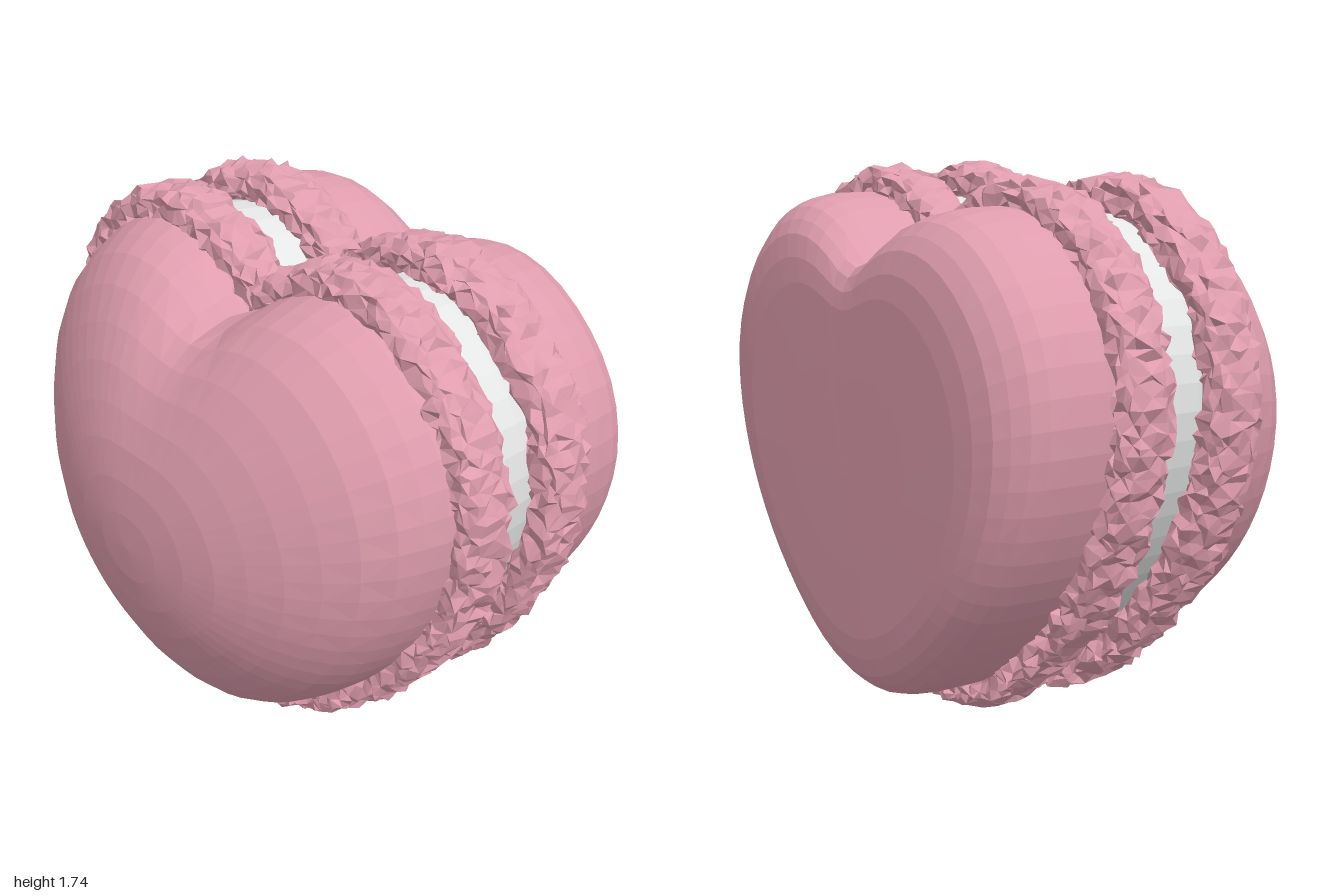
import * as THREE from 'three';

const CENTER_Y = 0.82;

// Right half of the heart outline, from the bottom tip up to the cleft
const HALF = [
  [0, 0.08], [0.1, 0.092], [0.25, 0.15], [0.42, 0.27], [0.62, 0.46], [0.78, 0.68], [0.88, 0.91],
  [0.91, 1.13], [0.86, 1.34], [0.73, 1.51], [0.56, 1.62], [0.38, 1.65], [0.2, 1.605], [0.08, 1.525], [0, 1.47],
];

// Closed counter-clockwise heart loop of n points
function heartLoop(n) {
  const curve = new THREE.CatmullRomCurve3(HALF.map(([x, y]) => new THREE.Vector3(x, y, 0)));
  const right = curve.getSpacedPoints(n / 2);
  const left = right.slice(1, -1).reverse().map((p) => new THREE.Vector3(-p.x, p.y, 0));
  return [...right, ...left];
}

// Rounds off the corners of a closed loop by averaging neighbours
function smoothLoop(loop, passes) {
  const n = loop.length;
  let points = loop;
  for (let i = 0; i < passes; i++) {
    const old = points;
    points = old.map((p, j) => old[(j + 1) % n].clone().add(old[(j + n - 1) % n])
      .multiplyScalar(0.25).addScaledVector(p, 0.5));
  }
  return points;
}

// Skin between closed rings of points; optionally joins the last ring to the first
function loft(rings, wrap = false) {
  const n = rings[0].length, m = rings.length, index = [];
  for (let i = 0; i < (wrap ? m : m - 1); i++) {
    for (let j = 0; j < n; j++) {
      const k = (j + 1) % n, r = (i + 1) % m;
      const a = i * n + j, b = i * n + k, c = r * n + j, d = r * n + k;
      // Alternate the diagonals for an even faceting
      if ((i + j) % 2) index.push(a, b, c, b, d, c);
      else index.push(a, b, d, a, d, c);
    }
  }
  const geometry = new THREE.BufferGeometry().setFromPoints(rings.flat());
  geometry.setIndex(index);
  geometry.computeVertexNormals();
  return geometry;
}

// Heart rings given as [z, scale], scale at most 1; smaller rings soften towards a wide ellipse
function heartBody(profile, soften) {
  const loop = heartLoop(64);
  return loft(profile.map(([z, s]) => smoothLoop(loop, Math.round(soften * 22 * (1 - s))).map((p) => {
    const dx = p.x, dy = p.y - CENTER_Y;
    const angle = Math.atan2(dy, dx);
    const ellipse = 1 / Math.hypot(Math.cos(angle) / 1.03, Math.sin(angle) / 0.82);
    const t = soften * Math.pow(1 - s, 0.7);
    const k = s * (1 - t + (t * ellipse) / Math.hypot(dx, dy));
    return new THREE.Vector3(dx * k, CENTER_Y + dy * k, z);
  })));
}

function seeded(seed) {
  return () => {
    seed = (seed * 16807) % 2147483647;
    return seed / 2147483647 - 0.5;
  };
}

// Crumbly rim following the heart, with a rough rounded cross-section
function ruffle(z, seed) {
  const random = seeded(seed), n = 180, sides = 18;
  const loop = heartLoop(n);
  const normals = loop.map((p, j) => {
    const t = loop[(j + 1) % n].clone().sub(loop[(j + n - 1) % n]).normalize();
    return new THREE.Vector3(t.y, -t.x, 0);
  });
  const soft = (v) => Math.sign(v) * Math.pow(Math.abs(v), 0.72);
  const rings = [];
  for (let i = 0; i < sides; i++) {
    const a = (i / sides) * Math.PI * 2;
    rings.push(loop.map((p, j) => {
      const bump = 1 + random() * 0.3;
      const q = p.clone().addScaledVector(normals[j], 0.02 + 0.056 * soft(Math.cos(a)) * bump);
      q.x += random() * 0.022;
      q.y += random() * 0.022;
      q.z = z + 0.09 * soft(Math.sin(a)) * bump + random() * 0.022;
      return q;
    }));
  }
  return loft(rings, true);
}

export function createModel() {
  const group = new THREE.Group();
  const pink = new THREE.MeshStandardMaterial({ color: 0xdf9dae, flatShading: true });
  pink.name = 'pink shell';
  const cream = new THREE.MeshStandardMaterial({ color: 0xe6e9e8, flatShading: true });
  cream.name = 'white cream';

  const add = (name, geometry, material) => {
    const mesh = new THREE.Mesh(geometry, material);
    mesh.name = name;
    group.add(mesh);
  };

  // Domed front shell
  add('frontShell', heartBody([
    [0.03, 0.001], [0.03, 0.98], [0.1, 1], [0.18, 0.99], [0.25, 0.965], [0.32, 0.925], [0.4, 0.85], [0.47, 0.75],
    [0.53, 0.64], [0.58, 0.52], [0.62, 0.4], [0.648, 0.27], [0.664, 0.14], [0.67, 0.001],
  ], 0.9), pink);

  // Flat-backed rear shell with a rounded edge
  add('backShell', heartBody([
    [-0.672, 0.001], [-0.671, 0.4], [-0.668, 0.7], [-0.66, 0.79], [-0.64, 0.87], [-0.61, 0.92], [-0.57, 0.96],
    [-0.52, 0.985], [-0.44, 1], [-0.34, 1], [-0.2, 0.98], [-0.19, 0.001],
  ], 0.5), pink);

  // Filling between the shells
  add('filling', heartBody([
    [-0.22, 0.001], [-0.22, 0.95], [-0.15, 0.965], [-0.07, 0.975], [0.01, 0.965], [0.06, 0.95], [0.06, 0.001],
  ], 0), cream);

  // Crumbly rims
  add('frontRuffle', ruffle(0.08, 17), pink);
  add('backRuffle', ruffle(-0.24, 4243), pink);

  return group;
}
